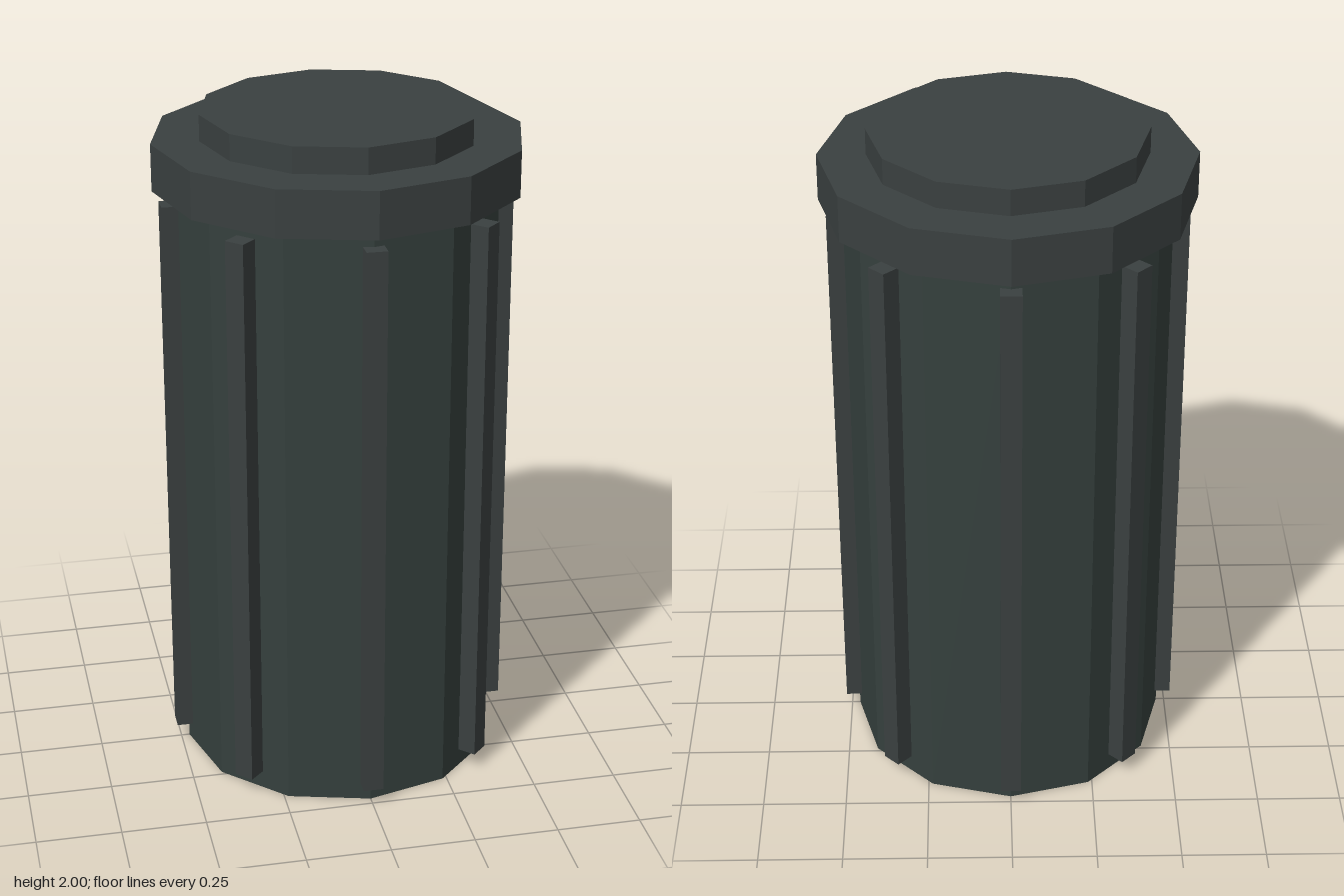
import * as THREE from 'three';

const SIDES = 12;
const RIBS = 8;

export function createModel() {
  const group = new THREE.Group();
  const bodyMat = new THREE.MeshStandardMaterial({ color: 0x35403d, flatShading: true });
  bodyMat.name = 'dark green grey';
  const trimMat = new THREE.MeshStandardMaterial({ color: 0x3a4040, flatShading: true });
  trimMat.name = 'dark grey';

  // Twelve-sided drum between two heights
  function drum(name, radius, y0, y1, material) {
    const mesh = new THREE.Mesh(new THREE.CylinderGeometry(radius, radius, y1 - y0, SIDES), material);
    mesh.name = name;
    mesh.position.y = (y0 + y1) / 2;
    group.add(mesh);
  }
  drum('body', 0.475, 0, 1.785, bodyMat);
  drum('lidRim', 0.537, 1.785, 1.923, trimMat);
  drum('lidTop', 0.398, 1.923, 2, trimMat);

  // Upright ribs, evenly spaced and sunk into the body
  const ribs = new THREE.Group();
  ribs.name = 'ribs';
  const ribGeometry = new THREE.BoxGeometry(0.06, 1.69, 0.08);
  ribGeometry.translate(0, 0.9, 0.475);
  for (let i = 0; i < RIBS; i++) {
    const rib = new THREE.Mesh(ribGeometry, trimMat);
    rib.name = 'rib';
    rib.rotation.y = (i / RIBS) * Math.PI * 2;
    ribs.add(rib);
  }
  group.add(ribs);
  return group;
}
